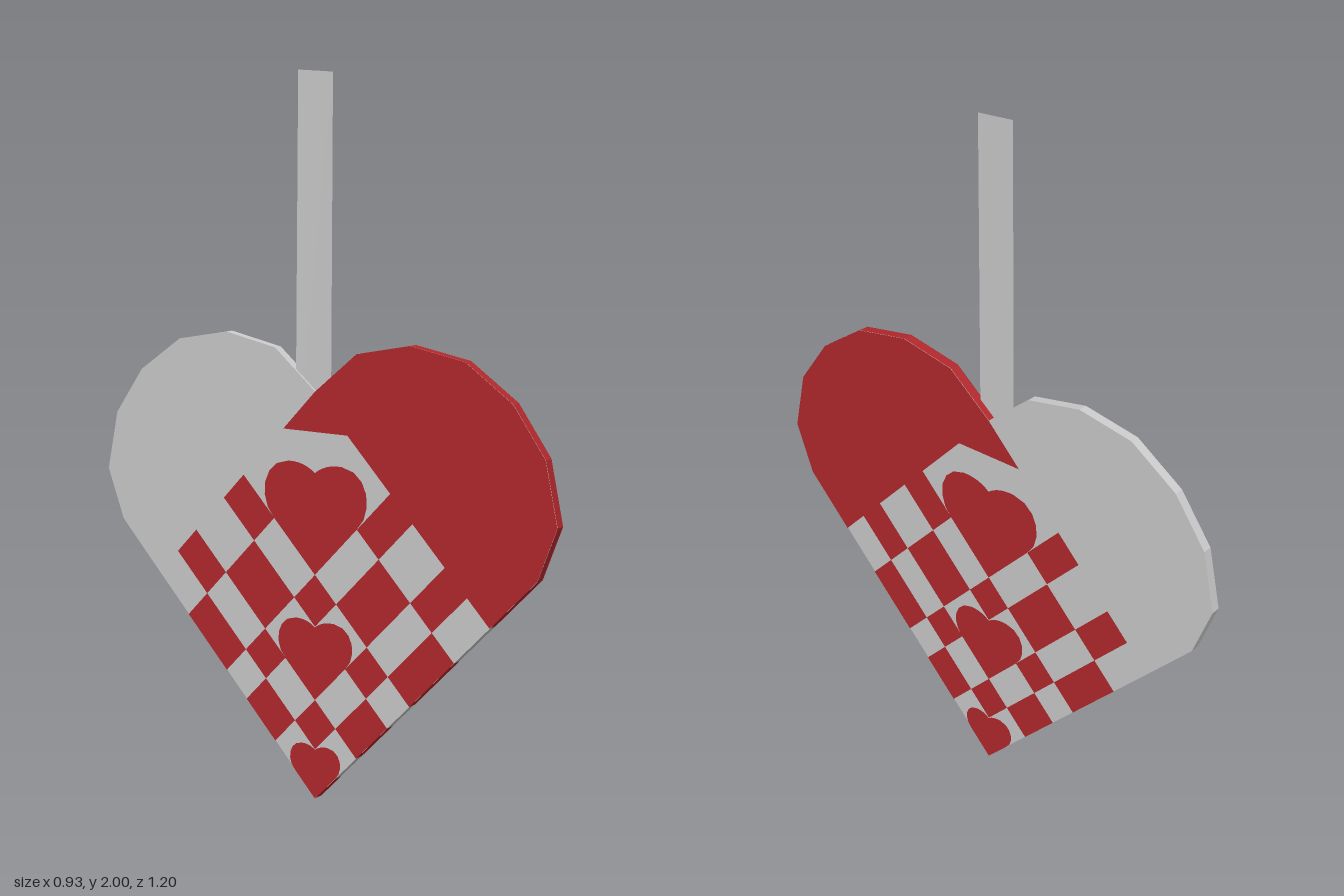
import * as THREE from 'three';

const FRONT = 0.021, BACK = -0.006, LIFT = 0.0015;
const RED = 0xb3282d, GREY = 0xcccccc;

// Strip borders of the weave, measured along both lower edges of the heart
const S = [0, 0.0715, 0.1425, 0.247, 0.32, 0.463, 0.573];
// Lattice position: a runs up the -x edge, b up the +x edge
const at = (a, b) => new THREE.Vector2(0.966 * (b - a), a + b);

// Lobe outline on the +x side, from the end of the weave up to the notch
const LOBE = [[0.69, 0.715], [0.745, 0.86], [0.708, 1.03], [0.612, 1.163],
  [0.47, 1.26], [0.303, 1.29], [0.135, 1.257]].map(p => new THREE.Vector2(...p));
const mirror = p => new THREE.Vector2(-p.x, p.y);

export function createModel() {
  const group = new THREE.Group();
  group.name = 'wovenHeartOrnament';
  const mats = {};
  const material = color => (mats[color] ??= new THREE.MeshStandardMaterial({
    color, side: THREE.DoubleSide, flatShading: true }));
  const add = (geometry, color, name) => {
    const mesh = new THREE.Mesh(geometry, material(color));
    mesh.name = name;
    group.add(mesh);
    return mesh;
  };

  // The same patch on the front and on the back sheet
  const patch = (shape, color, name, lift = 0) => {
    add(new THREE.ShapeGeometry(shape, 6), color, name + 'Front').position.z = FRONT + lift;
    const g = new THREE.ShapeGeometry(shape, 6);
    const index = g.index.array;
    for (let i = 0; i < index.length; i += 3) [index[i], index[i + 1]] = [index[i + 1], index[i]];
    const n = g.attributes.normal;
    for (let i = 0; i < n.count; i++) n.setZ(i, -1);
    add(g, color, name + 'Back').position.z = BACK - lift;
  };

  // Grey paper: the whole heart outline
  const notch = at(S[6], S[6]);
  const side = [...S.map(b => at(0, b)), ...LOBE, notch];
  const outline = [...side, ...side.slice(1, -1).reverse().map(mirror)];
  patch(new THREE.Shape(outline), GREY, 'greySheet');

  // Red lobe with a toothed border where the grey strips end on top of it
  const teeth = [at(S[6], S[6]), at(S[6], S[5])];
  for (let i = 4; i >= 0; i--) {
    const level = i % 2 ? S[5] : S[6];
    teeth.push(at(S[i + 1], level), at(S[i], level));
  }
  patch(new THREE.Shape([...teeth, ...LOBE]), RED, 'redLobe', LIFT);

  // Red squares of the weave; cells 0, 2 and 4 on the axis carry hearts
  for (let i = 0; i <= 5; i++) {
    for (let j = 0; j <= 4; j++) {
      if ((i + j) % 2 || (i === j && i % 2 === 0)) continue;
      patch(new THREE.Shape([at(S[i], S[j]), at(S[i], S[j + 1]),
        at(S[i + 1], S[j + 1]), at(S[i + 1], S[j])]), RED, 'redSquare', LIFT);
    }
  }

  // Small hearts up the middle
  for (const k of [0, 2, 4]) {
    const s = S[k + 1] - S[k], y = 2 * S[k];
    const h = new THREE.Shape();
    h.moveTo(0, y);
    h.lineTo(0.966 * s, y + s);
    h.bezierCurveTo(1.36 * s, y + 1.35 * s, 1.25 * s, y + 2.12 * s, 0.62 * s, y + 2.16 * s);
    h.quadraticCurveTo(0.25 * s, y + 2.18 * s, 0, y + 1.98 * s);
    h.quadraticCurveTo(-0.25 * s, y + 2.18 * s, -0.62 * s, y + 2.16 * s);
    h.bezierCurveTo(-1.25 * s, y + 2.12 * s, -1.36 * s, y + 1.35 * s, -0.966 * s, y + s);
    h.closePath();
    patch(h, RED, 'smallHeart', LIFT * 1.5);
  }

  // Quad from four corners
  const quad = (corners, color, name) => {
    const g = new THREE.BufferGeometry();
    g.setAttribute('position', new THREE.Float32BufferAttribute(corners.flat(), 3));
    g.setIndex([0, 1, 2, 0, 2, 3]);
    g.computeVertexNormals();
    return add(g, color, name);
  };

  // Narrow rim joining the two sheets, alternating along the weave
  for (let i = 0; i < outline.length; i++) {
    const p = outline[i], q = outline[(i + 1) % outline.length];
    const left = i >= side.length - 1;
    const k = left ? outline.length - 1 - i : i;
    const red = k < 5 ? k % 2 === 0 : k > 5 && !left;
    quad([[p.x, p.y, FRONT], [p.x, p.y, BACK], [q.x, q.y, BACK], [q.x, q.y, FRONT]],
      red ? RED : GREY, 'rim');
  }

  // Hanging strap tucked between the sheets
  quad([[-0.072, 0.9, 0.014], [0.046, 0.9, 0.014], [0.053, 1.993, 0.015], [-0.058, 2, 0.017]],
    GREY, 'strap');

  // The flat heart stands diagonally
  group.rotation.y = -0.914;
  const root = new THREE.Group();
  root.name = 'ornament';
  root.add(group);
  return root;
}
